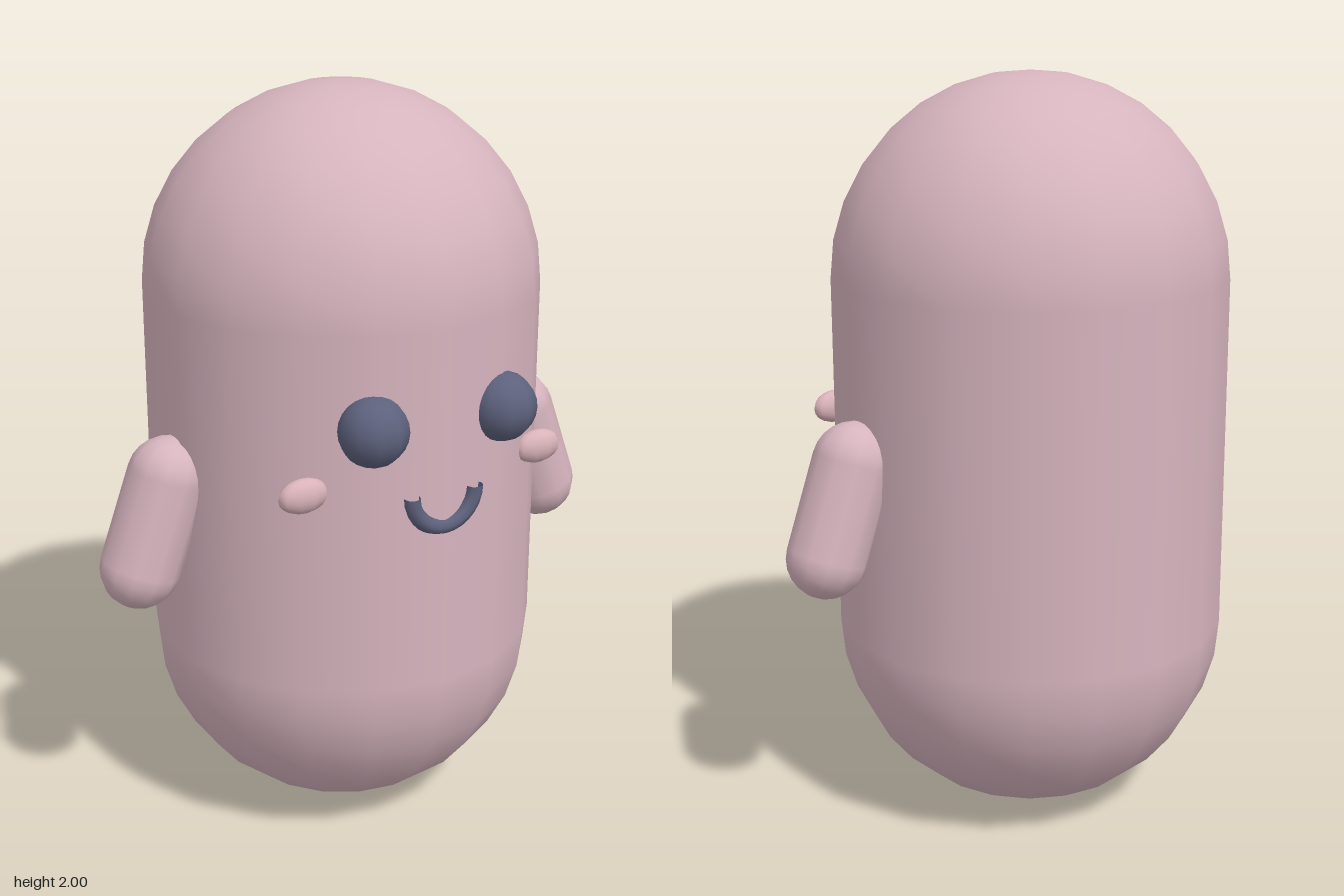
import * as THREE from 'three';

const skin = new THREE.MeshStandardMaterial({ color: 0xd6b4be });
skin.name = 'dustyPink';
const cheekPink = new THREE.MeshStandardMaterial({ color: 0xd9b3b9 });
cheekPink.name = 'cheekPink';
const slate = new THREE.MeshStandardMaterial({ color: 0x5d617c });
slate.name = 'slateBlue';
const slateOpen = new THREE.MeshStandardMaterial({ color: 0x5d617c });
slateOpen.name = 'slateBlueOpen';
slateOpen.side = THREE.DoubleSide;

export function createModel() {
  const model = new THREE.Group();
  model.name = 'capsuleCharacter';

  const add = (name, geometry, material, x, y, z) => {
    const mesh = new THREE.Mesh(geometry, material);
    mesh.name = name;
    mesh.position.set(x, y, z);
    model.add(mesh);
    return mesh;
  };

  // Body: upright capsule with a vertex facing front and back
  const body = add('body', new THREE.CapsuleGeometry(0.525, 0.945, 8, 18), skin, 0, 1.0025, -0.025);
  body.rotation.y = Math.PI / 2;

  const armGeometry = new THREE.CapsuleGeometry(0.105, 0.255, 6, 12);
  const eyeGeometry = new THREE.SphereGeometry(0.09, 10, 12);
  const cheekGeometry = new THREE.SphereGeometry(1, 10, 10);

  // Mirrored arms, eyes and cheeks
  for (const [side, s] of [['left', 1], ['right', -1]]) {
    const arm = add(side + 'Arm', armGeometry, skin, s * 0.583, 0.925, 0.027);
    arm.rotation.z = s * 0.35;
    add(side + 'Eye', eyeGeometry, slate, s * 0.187, 1.24, 0.46);
    const cheek = add(side + 'Cheek', cheekGeometry, cheekPink, s * 0.347, 1.083, 0.4);
    cheek.scale.set(0.069, 0.045, 0.031);
  }

  // Smile: lower half of a ring
  const mouth = add('mouth', new THREE.TorusGeometry(0.092, 0.022, 8, 14, Math.PI), slateOpen, 0, 1.057, 0.49);
  mouth.rotation.z = Math.PI;

  return model;
}
